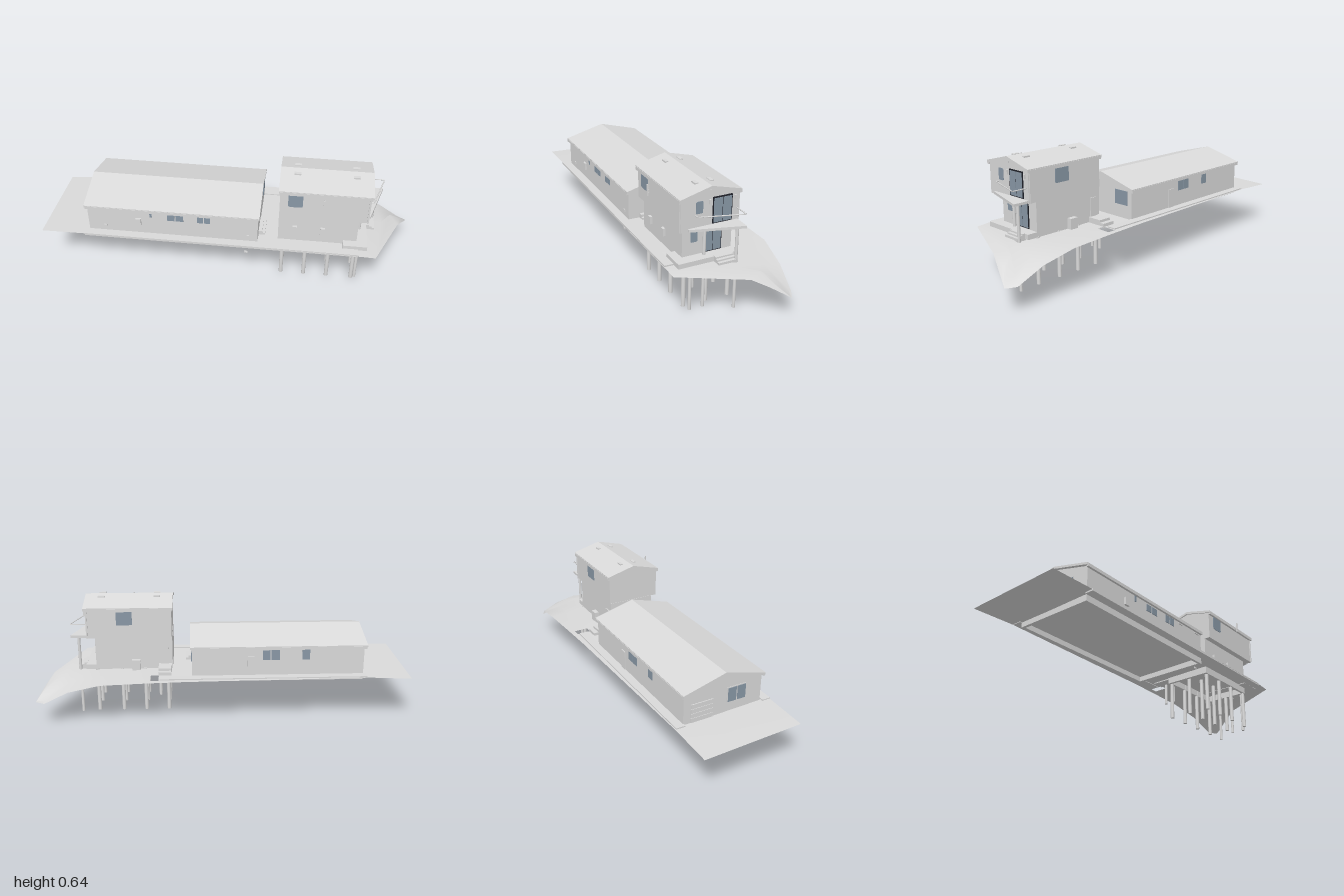
import * as THREE from 'three';

const plaster = new THREE.MeshStandardMaterial({ color: 0xd9d9d9, side: THREE.DoubleSide });
plaster.name = 'pale grey';
const glass = new THREE.MeshStandardMaterial({ color: 0x8897a5 });
glass.name = 'blue grey glass';
const dark = new THREE.MeshStandardMaterial({ color: 0x20222a });
dark.name = 'dark frame';

export function createModel() {
  const root = new THREE.Group();
  root.name = 'hillsideHouses';

  const add = (name, geo, mat = plaster) => {
    const m = new THREE.Mesh(geo, mat);
    m.name = name;
    root.add(m);
    return m;
  };
  // box given by its limits
  const box = (name, x0, x1, y0, y1, z0, z1) => {
    const m = add(name, new THREE.BoxGeometry(x1 - x0, y1 - y0, z1 - z0));
    m.position.set((x0 + x1) / 2, (y0 + y1) / 2, (z0 + z1) / 2);
  };
  // hollow foundation wall under a house
  const footing = (name, x0, x1, y0, y1, z0, z1, t) => {
    box(name, x0, x1, y0, y1, z0, z0 + t);
    box(name, x0, x1, y0, y1, z1 - t, z1);
    box(name, x0, x0 + t, y0, y1, z0 + t, z1 - t);
    box(name, x1 - t, x1, y0, y1, z0 + t, z1 - t);
  };
  const post = (name, x, z, y0, y1, r) => {
    add(name, new THREE.CylinderGeometry(r, r, y1 - y0, 16)).position.set(x, (y0 + y1) / 2, z);
  };
  // outline of [z, y] points drawn out from x0 to x1
  const alongX = (name, pts, x0, x1) => {
    const shape = new THREE.Shape(pts.map(([z, y]) => new THREE.Vector2(-z, y)));
    const geo = new THREE.ExtrudeGeometry(shape, { depth: x1 - x0, bevelEnabled: false });
    geo.rotateY(Math.PI / 2);
    geo.translate(x0, 0, 0);
    add(name, geo);
  };
  // gabled roof with gutters under both eaves
  const roof = (name, x0, x1, z0, z1, eave, ridge, t) => {
    const zm = (z0 + z1) / 2;
    alongX(name, [[z0, eave], [zm, ridge], [z1, eave], [z1, eave - t], [zm, ridge - t], [z0, eave - t]], x0, x1);
    for (const z of [z0 + 0.004, z1 - 0.004]) {
      box(name + 'Gutter', x0 + 0.005, x1 - 0.005, eave - t - 0.007, eave - 0.004, z - 0.006, z + 0.006);
    }
  };
  // thin plate on a wall: side is 'front', 'back', 'left' (+x) or 'right' (-x)
  const turn = { front: 0, back: Math.PI, left: Math.PI / 2, right: -Math.PI / 2 };
  const plate = (name, side, at, u0, u1, y0, y1, mat = glass, depth = 0.005) => {
    const m = add(name, new THREE.BoxGeometry(u1 - u0, y1 - y0, depth), mat);
    const u = (u0 + u1) / 2, y = (y0 + y1) / 2;
    if (side === 'front' || side === 'back') m.position.set(u, y, at);
    else m.position.set(at, y, u);
    m.rotation.y = turn[side];
  };
  // window with an arched top and softened lower corners
  const softWindow = (name, side, at, u, y0, y1, w) => {
    const h = y1 - y0, r = w * 0.25, s = new THREE.Shape();
    s.moveTo(-w / 2, r / 2);
    s.quadraticCurveTo(-w / 2, 0, -w / 2 + r, 0);
    s.lineTo(w / 2 - r, 0);
    s.quadraticCurveTo(w / 2, 0, w / 2, r / 2);
    s.lineTo(w / 2, h - r);
    s.quadraticCurveTo(w / 2, h, w / 2 - r, h);
    s.lineTo(-w / 2 + r, h);
    s.quadraticCurveTo(-w / 2, h, -w / 2, h - r);
    const m = add(name, new THREE.ExtrudeGeometry(s, { depth: 0.003, bevelEnabled: false }), glass);
    if (side === 'front') m.position.set(u, y0, at);
    else m.position.set(at, y0, u);
    m.rotation.y = turn[side];
  };

  // Ground: cross-sections of back, middle and front points, with a stair opening
  const sections = [
    [[-1, 0.242, -0.25], [-1, 0.25, 0], [-1, 0.258, 0.28]],
    [[-0.76, 0.255, -0.255], [-0.76, 0.257, 0], [-0.76, 0.263, 0.283]],
    [[0.2, 0.255, -0.278], [0.2, 0.257, 0], [0.2, 0.262, 0.286]],
    [[0.347, 0.254, -0.284], [0.347, 0.258, 0], [0.347, 0.262, 0.287]],
    [[0.39, 0.254, -0.286], [0.39, 0.258, 0], [0.39, 0.262, 0.287]],
    [[0.65, 0.248, -0.295], [0.67, 0.26, 0], [0.7, 0.261, 0.288]],
    [[0.82, 0.203, -0.273], [0.83, 0.256, -0.02], [0.79, 0.256, 0.285]],
    [[0.95, 0.132, -0.25], [0.885, 0.235, -0.12], [0.925, 0.231, -0.04]],
    [[1, 0.13, -0.22], [0.95, 0.195, -0.15], [0.96, 0.19, -0.12]],
  ].map(([b, m, f]) => {
    const mix = (t) => b.map((v, k) => v + (m[k] - v) * t);
    return [b, mix(0.1), mix(0.37), m, f];
  });
  const index = [];
  for (let i = 0; i < sections.length - 1; i++) {
    for (let j = 0; j < 4; j++) {
      if (i === 3 && j === 1) continue;
      const a = i * 5 + j;
      index.push(a, a + 1, a + 5, a + 1, a + 6, a + 5);
    }
  }
  // close the far edge between the last front and back points
  const last = (sections.length - 1) * 5;
  index.push(last, last + 3, last + 4);
  const ground = new THREE.BufferGeometry();
  ground.setAttribute('position', new THREE.Float32BufferAttribute(sections.flat(2), 3));
  ground.setIndex(index);
  ground.computeVertexNormals();
  add('ground', ground);
  box('frontPath', -0.76, 0.7, 0.255, 0.268, 0.24, 0.286);
  box('backPath', -0.76, 0.34, 0.252, 0.261, -0.25, -0.2);

  // Long low house
  footing('longHouseFooting', -0.745, 0.17, 0.228, 0.262, -0.205, 0.233, 0.015);
  alongX('longHouseWalls', [[-0.205, 0.26], [0.233, 0.26], [0.233, 0.412], [0.013, 0.472], [-0.205, 0.412]], -0.745, 0.17);
  roof('longHouseRoof', -0.76, 0.178, -0.216, 0.244, 0.422, 0.484, 0.012);
  for (const [x0, x1, y0, y1] of [[-0.312, -0.273, 0.358, 0.395], [-0.267, -0.226, 0.358, 0.395],
    [-0.152, -0.12, 0.358, 0.4], [-0.114, -0.082, 0.358, 0.4], [-0.407, -0.395, 0.37, 0.405]]) {
    plate('longHouseFrontWindow', 'front', 0.234, x0, x1, y0, y1);
  }
  box('meterBox', -0.485, -0.455, 0.317, 0.358, 0.23, 0.245);
  for (const x of [-0.04, 0.11]) box('wallVent', x, x + 0.035, 0.392, 0.397, 0.23, 0.238);
  for (const x of [-0.66, 0.11]) box('lowVent', x, x + 0.015, 0.285, 0.3, 0.23, 0.238);
  plate('backDoor', 'back', -0.206, -0.165, -0.125, 0.26, 0.365, plaster, 0.008);
  for (const [x0, x1] of [[-0.245, -0.205], [-0.295, -0.25], [-0.455, -0.415]]) {
    plate('longHouseBackWindow', 'back', -0.206, x0, x1, 0.345, 0.4);
  }
  plate('longHouseEndWindow', 'left', 0.171, -0.175, -0.088, 0.328, 0.405);
  for (let i = 0; i < 4; i++) {
    plate('garageDoorPanel', 'right', -0.746, -0.165, -0.045, 0.257 + i * 0.025, 0.28 + i * 0.025, plaster, 0.008);
  }
  plate('gableWindowFrame', 'right', -0.746, 0.035, 0.145, 0.305, 0.39, plaster, 0.003);
  for (const z of [0.04, 0.093]) plate('gableWindow', 'right', -0.747, z, z + 0.047, 0.31, 0.385);
  for (let i = 0; i < 2; i++) box('endStep', 0.17, 0.205 - i * 0.015, 0.25, 0.27 + i * 0.013, 0.05, 0.17);

  // Two-storey house
  footing('lowerFooting', 0.275, 0.69, 0.222, 0.262, -0.072, 0.192, 0.015);
  box('lowerStorey', 0.275, 0.69, 0.26, 0.437, -0.072, 0.192);
  alongX('upperStorey', [[-0.077, 0.435], [0.224, 0.435], [0.224, 0.592], [0.073, 0.632], [-0.077, 0.592]], 0.277, 0.735);
  roof('upperRoof', 0.27, 0.745, -0.087, 0.234, 0.603, 0.645, 0.014);
  for (const x of [0.34, 0.64]) {
    for (const z of [0.025, 0.105]) box('roofVent', x, x + 0.035, 0.628, 0.64, z, z + 0.018);
  }
  softWindow('upperFrontWindow', 'front', 0.225, 0.357, 0.505, 0.592, 0.075);
  softWindow('upperEndWindow', 'left', 0.736, 0.131, 0.517, 0.577, 0.036);
  softWindow('lowerEndWindow', 'left', 0.691, 0.131, 0.352, 0.417, 0.036);
  plate('upperBackWindow', 'back', -0.078, 0.487, 0.572, 0.507, 0.587);
  for (const x of [0.35, 0.495]) box('lowerFrontBox', x, x + 0.024, 0.317, 0.357, 0.19, 0.205);

  // Sliding doors: dark surround with two panes
  const slidingDoor = (x, z0, z1, y0, y1) => {
    plate('slidingDoorFrame', 'left', x, z0, z1, y0, y1, dark, 0.006);
    const zm = (z0 + z1) / 2;
    plate('slidingDoorPane', 'left', x + 0.002, z0 + 0.004, zm - 0.0015, y0 + 0.004, y1 - 0.006);
    plate('slidingDoorPane', 'left', x + 0.002, zm + 0.0015, z1 - 0.004, y0 + 0.004, y1 - 0.006);
  };
  slidingDoor(0.737, -0.039, 0.062, 0.454, 0.585);
  slidingDoor(0.692, -0.015, 0.08, 0.288, 0.42);

  // Wall lamps and round gable vent
  for (const z of [-0.055, 0.078]) box('wallLamp', 0.735, 0.745, 0.555, 0.577, z - 0.004, z + 0.004);
  const vent = add('gableVent', new THREE.CylinderGeometry(0.007, 0.007, 0.006, 16));
  vent.rotation.z = Math.PI / 2;
  vent.position.set(0.735, 0.62, 0.071);

  // Wedge-shaped balcony with a rail
  const outline = new THREE.Shape([[0.685, 0.187], [0.745, 0.187], [0.82, -0.072], [0.685, -0.072]]
    .map(([x, z]) => new THREE.Vector2(x, -z)));
  const slab = new THREE.ExtrudeGeometry(outline, { depth: 0.013, bevelEnabled: false });
  slab.rotateX(-Math.PI / 2);
  add('balcony', slab).position.y = 0.437;
  const railPath = new THREE.CurvePath();
  const railPts = [[0.737, 0.15], [0.757, 0.148], [0.82, -0.065], [0.737, -0.065]].map(([x, z]) => new THREE.Vector3(x, 0.51, z));
  for (let i = 0; i < 3; i++) railPath.add(new THREE.LineCurve3(railPts[i], railPts[i + 1]));
  add('balconyRail', new THREE.TubeGeometry(railPath, 36, 0.003, 6));

  // Deck and its steps
  box('deck', 0.62, 0.745, 0.257, 0.284, -0.072, 0.237);
  for (let i = 0; i < 3; i++) box('deckStep', 0.74, 0.79 - i * 0.015, 0.25, 0.269 + i * 0.008, -0.047, 0.05);

  // Supports
  for (const x of [0.3, 0.425, 0.55, 0.685]) {
    for (const z of [-0.066, 0.058, 0.178]) post('foundationPile', x, z, 0.015, 0.26, 0.0105);
  }
  post('balconyPost', 0.78, -0.047, 0, 0.44, 0.008);
  post('balconyPost', 0.706, 0.083, 0, 0.44, 0.008);
  post('deckPost', 0.706, 0.155, 0, 0.258, 0.008);
  for (const z of [-0.14, -0.085]) post('porchPost', 0.34, z, 0.13, 0.258, 0.008);

  // Back porch and outdoor unit
  box('porch', 0.28, 0.35, 0.25, 0.285, -0.155, -0.07);
  box('porchStep', 0.28, 0.35, 0.25, 0.272, -0.182, -0.155);
  box('outdoorUnit', 0.45, 0.495, 0.255, 0.312, -0.098, -0.07);
  plate('lowerBackDoor', 'back', -0.073, 0.295, 0.34, 0.285, 0.385, plaster, 0.008);

  // Downpipes and aerial
  for (const z of [-0.08, 0.227]) box('downpipe', 0.725, 0.731, 0.435, 0.59, z - 0.003, z + 0.003);
  box('aerialMast', 0.497, 0.503, 0.538, 0.596, 0.274, 0.28);
  for (let i = 0; i < 5; i++) box('aerialRod', 0.499, 0.501, 0.55 + i * 0.009, 0.552 + i * 0.009, 0.268, 0.276);
  box('pipeOutlet', 0.1, 0.118, 0.178, 0.188, 0.231, 0.236);
  return root;
}
